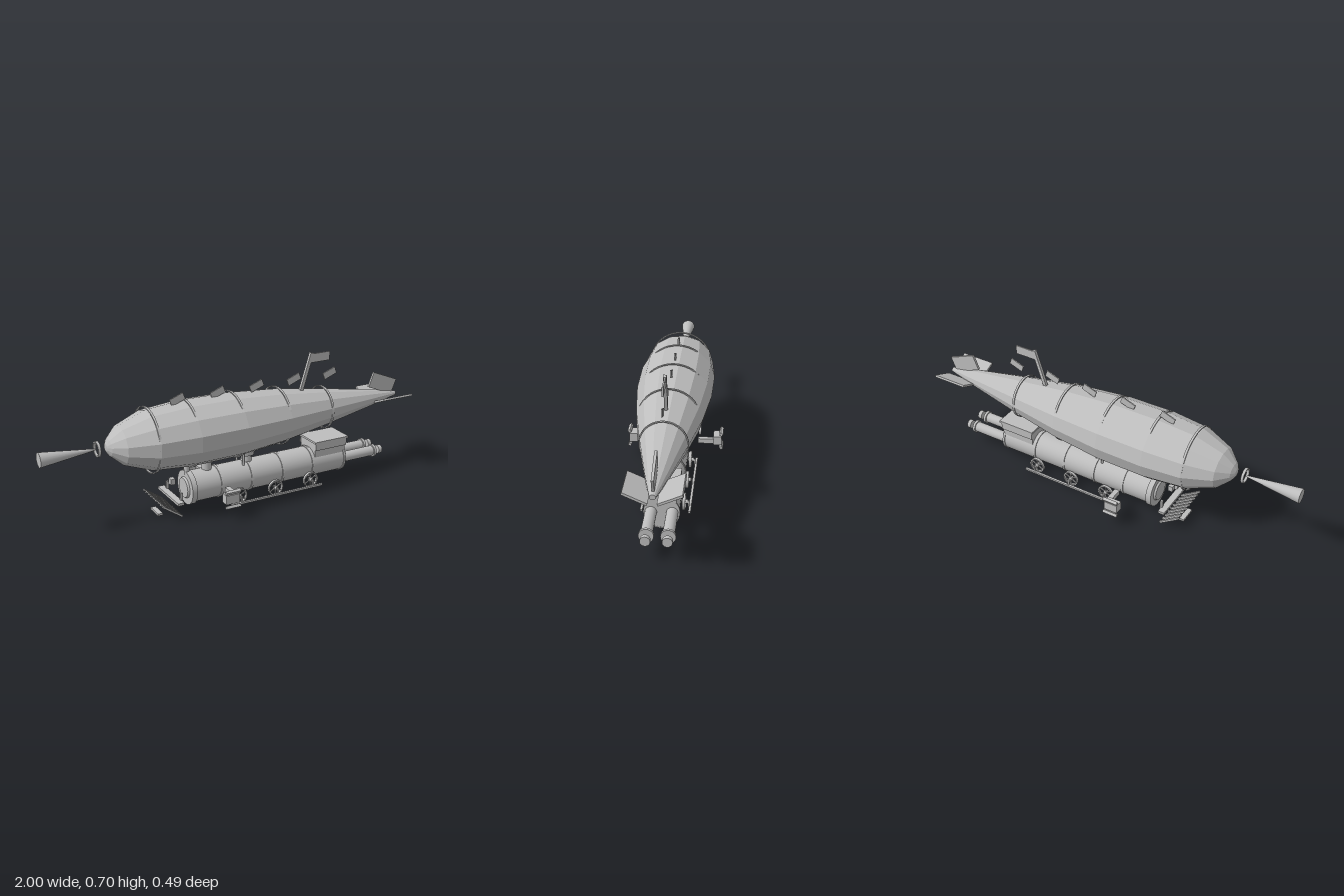
import * as THREE from 'three';

export function createModel() {
  const model = new THREE.Group();
  model.name = 'steamAirship';
  const grey = new THREE.MeshStandardMaterial({ color: 0xbdbdbd });
  grey.name = 'plain grey';
  const open = new THREE.MeshStandardMaterial({ color: 0xbdbdbd, side: THREE.DoubleSide });
  open.name = 'plain grey thin';

  const add = (name, geo, x, y, z, mat = grey) => {
    const mesh = new THREE.Mesh(geo, mat);
    mesh.name = name;
    mesh.position.set(x, y, z);
    model.add(mesh);
    return mesh;
  };
  const box = (name, w, h, d, x, y, z) => add(name, new THREE.BoxGeometry(w, h, d), x, y, z);
  // Cylinder lying along x; r0 is the -x end, r1 the +x end
  const tubeX = (name, r0, r1, x0, x1, y, z, sides = 24) =>
    add(name, new THREE.CylinderGeometry(r1, r0, x1 - x0, sides).rotateZ(-Math.PI / 2), (x0 + x1) / 2, y, z);
  const post = (name, rTop, rBottom, x, y0, y1, z = 0) =>
    add(name, new THREE.CylinderGeometry(rTop, rBottom, y1 - y0, 16), x, (y0 + y1) / 2, z);
  const flat = (geo) => {
    const g = geo.toNonIndexed();
    g.computeVertexNormals();
    return g;
  };
  // Flat hoop with a square section, facing along x
  const hoop = (name, r, thick, width, x, y, z, sides = 32) => {
    const pts = [[r - thick, -width / 2], [r, -width / 2], [r, width / 2], [r - thick, width / 2], [r - thick, -width / 2]]
      .map(([a, b]) => new THREE.Vector2(a, b));
    return add(name, flat(new THREE.LatheGeometry(pts, sides).rotateZ(-Math.PI / 2)), x, y, z, open);
  };

  // Gas envelope: faceted, thirteen sides, flattened a little
  const axis = 0.398;
  const profile = [[0, -0.682], [0.022, -0.68], [0.05, -0.666], [0.11, -0.61], [0.17, -0.47], [0.19, -0.27],
    [0.187, -0.02], [0.16, 0.24], [0.112, 0.51], [0.054, 0.8], [0.014, 0.98], [0, 0.98]]
    .map(([r, x]) => new THREE.Vector2(r, x));
  const hull = new THREE.LatheGeometry(profile, 13, Math.PI).rotateZ(-Math.PI / 2).scale(1, 0.85, 1);
  add('envelope', flat(hull), 0, axis, 0);

  // Hoops around the envelope
  for (const [x, r] of [[-0.47, 0.163], [-0.27, 0.17], [-0.02, 0.169], [0.24, 0.151], [0.51, 0.113]])
    hoop('envelopeHoop', r, 0.005, 0.011, x, axis, 0, 40);

  // Nose ring and cone
  hoop('noseRing', 0.038, 0.007, 0.013, -0.722, 0.4, 0);
  tubeX('noseCone', 0.036, 0.004, -1, -0.73, 0.4, 0, 20);

  // Tail fins
  box('topFin', 0.16, 0.083, 0.012, 0.893, 0.467, 0).rotation.z = -0.38;
  for (const s of [-1, 1])
    box('sideFin', 0.185, 0.011, 0.114, 0.907, 0.397, s * 0.073).rotation.x = -s * 0.42;

  // Pennants along the spine, mast and flag
  for (let i = 0; i < 5; i++)
    box('pennant', 0.076, 0.036, 0.006, -0.31 + i * 0.216, 0.573, 0).rotation.z = 0.36;
  box('mast', 0.018, 0.21, 0.016, 0.41, 0.597, 0).rotation.z = -0.3;
  box('mastFlag', 0.112, 0.046, 0.007, 0.493, 0.668, 0);

  // Boiler with bands and front plate
  const by = 0.112;
  tubeX('boiler', 0.079, 0.079, -0.26, 0.62, by, 0, 32);
  tubeX('boilerFront', 0.087, 0.087, -0.278, -0.25, by, 0, 32);
  tubeX('boilerDoor', 0.05, 0.055, -0.288, -0.278, by, 0, 24);
  for (const x of [-0.11, 0.06, 0.24, 0.42, 0.615])
    hoop('boilerBand', 0.083, 0.006, 0.012, x, by, 0);

  // Chimney, domes and hangers below the envelope
  post('chimney', 0.014, 0.014, -0.268, 0.18, 0.27);
  post('frontDome', 0.025, 0.025, -0.16, 0.18, 0.235);
  post('frontDomeCap', 0.034, 0.03, -0.16, 0.225, 0.25);
  post('rearDome', 0.025, 0.028, 0.065, 0.18, 0.225);
  post('rearDomeCap', 0.045, 0.04, 0.065, 0.224, 0.25);
  for (const s of [-1, 1]) post('hanger', 0.006, 0.006, 0.03, 0.17, 0.27, s * 0.035);

  // Cab and roof
  box('cab', 0.185, 0.115, 0.136, 0.528, 0.17, 0);
  box('cabRoof', 0.205, 0.01, 0.154, 0.533, 0.232, 0);
  for (const s of [-1, 1]) box('cabRoofSide', 0.19, 0.042, 0.009, 0.528, 0.212, s * 0.0725);

  for (const s of [-1, 1]) {
    // Rear exhausts
    const z = s * 0.048;
    tubeX('exhaustPipe', 0.027, 0.027, 0.6, 0.815, by, z);
    tubeX('exhaustCollar', 0.034, 0.034, 0.808, 0.822, by, z);
    tubeX('exhaustPlug', 0.023, 0.023, 0.845, 0.866, by, z);

    // Side engine with its loose blades
    box('engineArm', 0.026, 0.025, 0.078, -0.107, by, s * 0.157);
    box('engineBlock', 0.072, 0.046, 0.042, -0.138, by, s * 0.216);
    for (const t of [-1, 1])
      box('engineBlade', 0.078, 0.015, 0.015, -0.137, by + t * 0.038, s * 0.236).rotation.x = s * t * 0.5;

    // Spoked wheels and coupling rod
    for (const x of [-0.02, 0.19, 0.4]) {
      hoop('wheelRim', 0.042, 0.007, 0.014, x, 0.043, s * 0.085, 24).rotation.y = Math.PI / 2;
      add('wheelHub', new THREE.CylinderGeometry(0.01, 0.01, 0.03, 12).rotateX(Math.PI / 2), x, 0.043, s * 0.088);
      for (let k = 0; k < 3; k++)
        box('wheelSpoke', 0.076, 0.005, 0.007, x, 0.043, s * 0.085).rotation.z = k * Math.PI / 3 + 0.5;
      box('rodLink', 0.008, 0.035, 0.008, x, 0.03, s * 0.108);
    }
    box('couplingRod', 0.535, 0.01, 0.012, 0.187, 0.016, s * 0.113);
    box('guardBracket', 0.012, 0.045, 0.014, -0.338, 0.105, s * 0.08);
  }

  // Front guard: sloping slats, cross beam, lamp and foot bar
  for (let i = -4; i <= 4; i++)
    box('guardSlat', 0.122, 0.01, 0.011, -0.4, 0.056, i * 0.0283).rotation.z = -0.61;
  box('guardBeam', 0.034, 0.013, 0.235, -0.355, 0.084, 0);
  box('guardLamp', 0.024, 0.03, 0.03, -0.348, 0.16, 0);
  box('guardFoot', 0.026, 0.011, 0.088, -0.433, 0.018, 0);

  return model;
}
